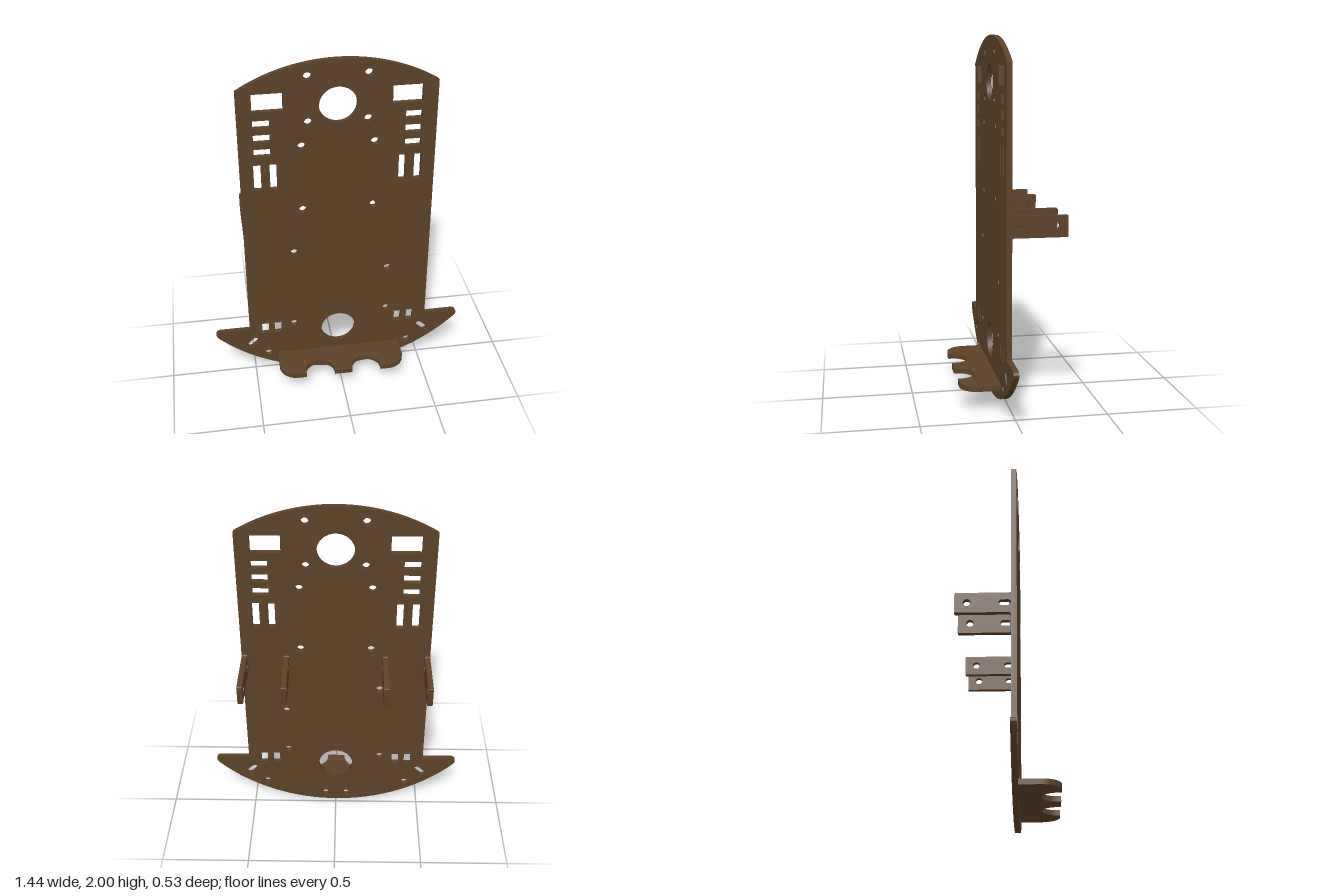
import * as THREE from 'three';
import { toCreasedNormals } from 'three/addons/utils/BufferGeometryUtils.js';

const T = 0.029; // sheet thickness
const FRONT = 0.053, BACK = FRONT - T;
const material = new THREE.MeshStandardMaterial({ color: 0x5c4127 });

function sheet(shape, depth = T) {
  const geo = new THREE.ExtrudeGeometry(shape, { depth, bevelEnabled: false, curveSegments: 24 });
  return toCreasedNormals(geo, 0.5);
}

function addMesh(parent, name, geo) {
  const mesh = new THREE.Mesh(geo, material);
  mesh.name = name;
  parent.add(mesh);
  return mesh;
}

function circleHole(shape, x, y, r) {
  shape.holes.push(new THREE.Path().absarc(x, y, r, 0, Math.PI * 2, false));
}

function rectHole(shape, x0, x1, y0, y1) {
  shape.holes.push(new THREE.Path([[x0, y0], [x1, y0], [x1, y1], [x0, y1]]
    .map(([x, y]) => new THREE.Vector2(x, y))));
}

// Round-ended slot between two points
function slotHole(shape, ax, ay, bx, by, r) {
  const a = Math.atan2(by - ay, bx - ax);
  const path = new THREE.Path();
  path.absarc(bx, by, r, a - Math.PI / 2, a + Math.PI / 2, false);
  path.absarc(ax, ay, r, a + Math.PI / 2, a + Math.PI * 1.5, false);
  path.closePath();
  shape.holes.push(path);
}

function plateGeometry() {
  // Straight sides, unit-radius arcs at both ends, wings at the bottom
  const W = 0.525, top = Math.acos(W), low = Math.acos(0.712);
  const s = new THREE.Shape();
  s.absarc(0, 1, 1, top, Math.PI - top, false);
  s.lineTo(-W, 0.338);
  s.lineTo(-0.7, 0.338);
  s.quadraticCurveTo(-0.735, 0.325, -0.712, 1 - Math.sin(low));
  s.absarc(0, 1, 1, Math.PI + low, Math.PI * 2 - low, false);
  s.quadraticCurveTo(0.735, 0.325, 0.7, 0.338);
  s.lineTo(W, 0.338);
  s.closePath();

  // Large cable openings
  circleHole(s, 0, 1.75, 0.1);
  circleHole(s, 0, 0.296, 0.1);

  // Screw holes: mirrored pairs, then single ones
  const pairs = [[0.158, 1.917], [0.158, 1.663], [0.195, 1.527], [0.195, 1.139], [0.42, 0.15], [0.063, 0.053]];
  const singles = [[-0.25, 0.86], [0.285, 0.7], [0.285, 0.407], [-0.262, 0.357]];
  for (const [x, y] of pairs) for (const k of [-1, 1]) circleHole(s, k * x, y, 0.021);
  for (const [x, y] of singles) circleHole(s, x, y, 0.021);

  // Rectangular cut-outs, mirrored
  const rects = [
    [0.285, 0.445, 1.737, 1.836],
    [0.357, 0.445, 1.645, 1.689], [0.357, 0.445, 1.563, 1.608], [0.357, 0.445, 1.481, 1.525],
    [0.328, 0.366, 1.28, 1.432], [0.412, 0.452, 1.28, 1.432],
    [0.337, 0.378, 0.301, 0.373], [0.411, 0.452, 0.301, 0.373],
  ];
  for (const [x0, x1, y0, y1] of rects) {
    rectHole(s, x0, x1, y0, y1);
    rectHole(s, -x1, -x0, y0, y1);
  }

  // Slanted slots in the wings
  for (const k of [-1, 1]) slotHole(s, k * 0.526, 0.221, k * 0.494, 0.253, 0.019);
  return sheet(s);
}

// Motor bracket profile: shape x runs backwards from the plate
function bracketGeometry() {
  const u0 = -BACK - 0.003, u1 = 0.267, y0 = 0.972, y1 = 1.085, f = 0.014, r = 0.006;
  const s = new THREE.Shape();
  s.moveTo(u0, y0 - f);
  s.lineTo(-BACK, y0 - f);
  s.quadraticCurveTo(-BACK, y0, -BACK + f, y0);
  s.lineTo(u1 - r, y0);
  s.quadraticCurveTo(u1, y0, u1, y0 + r);
  s.lineTo(u1, y1 - r);
  s.quadraticCurveTo(u1, y1, u1 - r, y1);
  s.lineTo(-BACK + f, y1);
  s.quadraticCurveTo(-BACK, y1, -BACK, y1 + f);
  s.lineTo(u0, y1 + f);
  s.closePath();
  circleHole(s, 0.203, 1.029, 0.02);
  slotHole(s, -0.008, 1.029, 0.024, 1.029, 0.016);
  return sheet(s).rotateY(Math.PI / 2);
}

// Horizontal sensor shelf with two round notches; shape y runs forwards
function shelfGeometry() {
  const W = 0.367, z0 = FRONT - 0.01, z1 = 0.267, c = 0.1, r = 0.084;
  const s = new THREE.Shape();
  s.moveTo(-W, z0);
  s.lineTo(W, z0);
  s.absarc(W - c, z1 - c, c, 0, Math.PI / 2, false);
  for (const x of [0.136, -0.136]) {
    s.lineTo(x + r, z1);
    s.absarc(x, 0.249, r, 0, Math.PI, true);
    s.lineTo(x - r, z1);
  }
  s.absarc(-W + c, z1 - c, c, Math.PI / 2, Math.PI, false);
  s.closePath();
  return sheet(s).rotateX(Math.PI / 2);
}

// Small concave fillet strip in the corner of bracket and plate
function filletGeometry(dir) {
  const f = 0.012;
  const s = new THREE.Shape();
  s.moveTo(0, 0);
  s.lineTo(dir * f, 0);
  s.quadraticCurveTo(0, 0, 0, f);
  s.closePath();
  return sheet(s, 0.113).rotateX(-Math.PI / 2);
}

export function createModel() {
  const model = new THREE.Group();
  model.name = 'chassis';

  addMesh(model, 'basePlate', plateGeometry()).position.z = BACK;

  // Two brackets per side, fillets on the faces that look at each other
  const bracket = bracketGeometry();
  for (const side of [-1, 1]) {
    for (const [name, x, inward] of [['outerBracket', 0.5105, -1], ['innerBracket', 0.276, 1]]) {
      const group = new THREE.Group();
      group.name = (side > 0 ? 'left ' : 'right ') + name;
      addMesh(group, 'motorBracket', bracket).position.x = side * x - T / 2;
      const dir = side * inward;
      const fillet = addMesh(group, 'bracketFillet', filletGeometry(dir));
      fillet.position.set(side * x + dir * T / 2, 0.972, BACK);
      model.add(group);
    }
  }

  addMesh(model, 'sensorShelf', shelfGeometry()).position.y = 0.147;
  return model;
}
